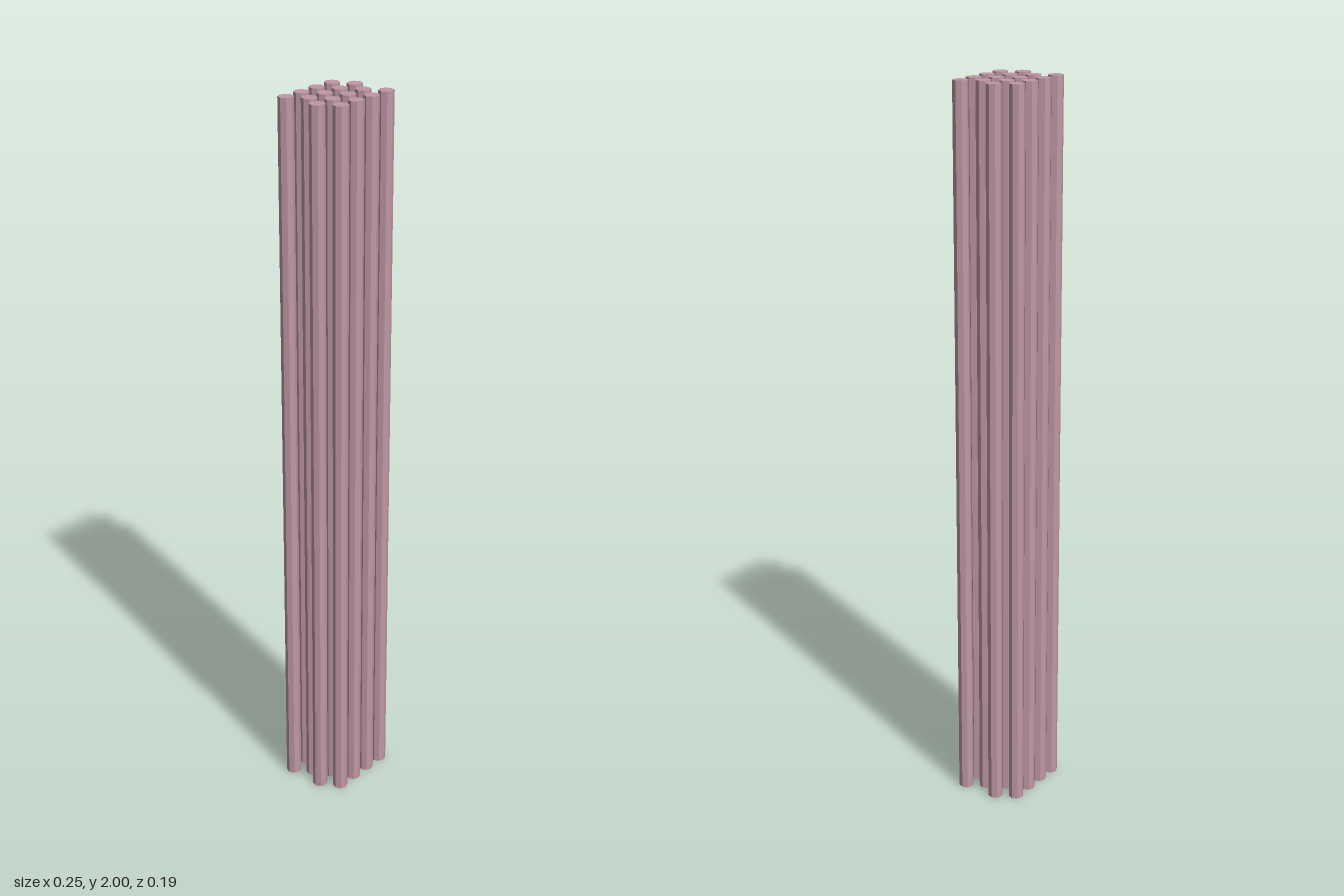
import * as THREE from 'three';

// A bundle of long octagonal rods in a staggered, hexagonally packed grid
export function createModel() {
  const model = new THREE.Group();
  model.name = 'rodBundle';

  const rows = 4, columns = 4;
  const spacing = 0.0583;
  const rowSpacing = spacing * Math.sqrt(3) / 2;
  const radius = 0.0206, height = 2;

  const material = new THREE.MeshStandardMaterial({ color: 0xbf98a5, flatShading: true });
  const rodGeometry = new THREE.CylinderGeometry(radius, radius, height, 8);

  for (let row = 0; row < rows; row++) {
    // Alternate rows shift a quarter spacing to either side
    const shift = (row % 2 ? 0.25 : -0.25) * spacing;
    for (let column = 0; column < columns; column++) {
      const rod = new THREE.Mesh(rodGeometry, material);
      rod.name = `rod${row * columns + column + 1}`;
      rod.position.set(
        (column - (columns - 1) / 2) * spacing + shift,
        height / 2,
        (row - (rows - 1) / 2) * rowSpacing
      );
      model.add(rod);
    }
  }
  return model;
}
